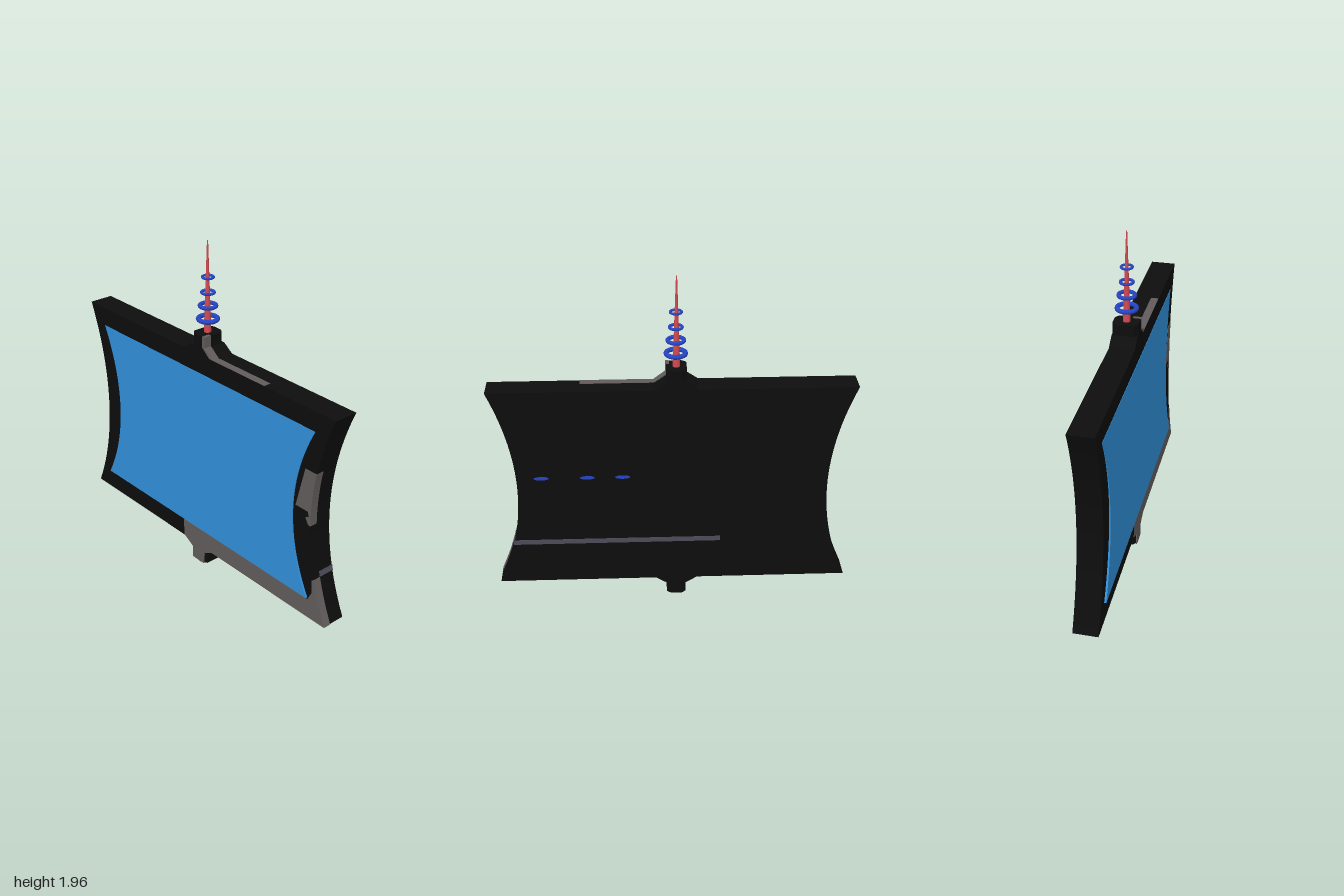
import * as THREE from 'three';

const BACK = -0.075, FRONT = 0.065, MID = -0.02;

const mat = (name, color, side = THREE.FrontSide) => {
  const m = new THREE.MeshStandardMaterial({ color, side });
  m.name = name;
  return m;
};

// Inward-bowed side curve, from top to bottom, with xm as the bezier control offset
const sideCurve = (x, xm, top, bottom) => {
  const h = top - bottom;
  return new THREE.CubicBezierCurve(
    new THREE.Vector2(x, top), new THREE.Vector2(xm, top - h * 0.34),
    new THREE.Vector2(xm, bottom + h * 0.32), new THREE.Vector2(x, bottom)).getPoints(28);
};
const flip = (pts) => pts.map((p) => new THREE.Vector2(-p.x, p.y)).reverse();
const vec = (pairs) => pairs.map(([x, y]) => new THREE.Vector2(x, y));

const outer = sideCurve(1, 0.82, 1.34, 0.115);

// x of the frame's side at height y
function edgeX(y) {
  for (let i = 1; i < outer.length; i++) {
    const a = outer[i - 1], b = outer[i];
    if (y >= b.y) return a.x + (b.x - a.x) * (a.y - y) / (a.y - b.y);
  }
  return 1;
}

// Points just outside the frame's side between two heights, bottom to top
const edgePoints = (y0, y1) => Array.from({ length: 9 }, (_, i) => {
  const y = y0 + (y1 - y0) * i / 8;
  return new THREE.Vector2(edgeX(y) + 0.002, y);
});

function slab(points, z0, z1) {
  const g = new THREE.ExtrudeGeometry(new THREE.Shape(points), { depth: z1 - z0, bevelEnabled: false });
  return g.translate(0, 0, z0);
}

export function createModel() {
  const group = new THREE.Group();
  const black = mat('frame black', 0x0d0d0d);
  const grey = mat('worn grey', 0x615c5b);
  const slate = mat('slate grey', 0x4c4b58);
  const sky = mat('screen blue', 0x3090da);
  const red = mat('antenna red', 0xd04a50);
  const blue = mat('ring blue', 0x2644c4);
  const add = (name, geometry, material) => {
    const m = new THREE.Mesh(geometry, material);
    m.name = name;
    group.add(m);
    return m;
  };

  // Frame body with flared roots for the two mounts
  add('frame', slab([
    ...outer,
    ...vec([[0.1, 0.115], [0.035, 0.075], [-0.075, 0.075], [-0.14, 0.115]]),
    ...flip(outer),
    ...vec([[-0.14, 1.34], [-0.075, 1.385], [0.035, 1.385], [0.1, 1.34]]),
  ], BACK, FRONT), black);

  // Eight-sided mounts above and below
  const mountPlan = vec([
    [-0.055, -0.05], [-0.03, -0.07], [0.03, -0.07], [0.055, -0.05],
    [0.055, 0.05], [0.03, 0.07], [-0.03, 0.07], [-0.055, 0.05]]);
  for (const [name, y0, y1] of [['topMount', 1.36, 1.45], ['bottomMount', 0, 0.1]]) {
    const g = slab(mountPlan, y0, y1).rotateX(-Math.PI / 2).translate(MID, 0, -0.005);
    add(name, g, black);
  }

  // Screen, leaning forward slightly at its foot
  const inner = sideCurve(0.87, 0.697, 1.23, 0.237);
  const screen = slab([...inner, ...flip(inner)], 0.05, 0.067);
  const pos = screen.attributes.position;
  for (let i = 0; i < pos.count; i++) {
    pos.setZ(i, pos.getZ(i) + (1.23 - pos.getY(i)) * 0.01);
  }
  screen.computeVertexNormals();
  add('screen', screen, sky);

  // Grey worn areas wrapping the front and the left side
  add('lowerWear', slab([
    ...vec([[-0.15, 0.113]]), ...edgePoints(0.113, 0.37),
    ...vec([[0.895, 0.36], [0.9, 0.28], [0.87, 0.225], [-0.15, 0.225]]),
  ], 0.02, 0.067), grey);
  add('mountWear', slab(vec([
    [-0.14, 0.115], [-0.07, 0.075], [-0.07, 0.003], [0.025, 0.003], [0.03, 0.075], [0.1, 0.115],
  ]), 0.06, 0.067), grey);
  add('sideWear', slab([
    ...vec([[0.757, 0.76]]), ...vec([[0.845, 0.76], [0.855, 0.73], [0.83, 0.72], [0.85, 0.685]]),
    ...edgePoints(0.68, 1.0), ...vec([[0.815, 1.0]]),
  ], 0.02, 0.067), grey);
  add('topMountWear', slab(vec([
    [0.018, 1.452], [0.018, 1.39], [0.075, 1.342], [0.1, 1.342], [0.037, 1.39], [0.037, 1.452],
  ]), 0.02, 0.067), grey);
  add('topWear', new THREE.BoxGeometry(0.45, 0.004, 0.043).translate(0.275, 1.34, 0.0425), grey);

  // Scratch along the back, turning onto the left side
  add('backStripe', slab([
    ...vec([[-0.27, 0.37]]), ...edgePoints(0.37, 0.4), ...vec([[-0.27, 0.4]]),
  ], -0.077, 0.02), slate);

  // Blue marks on the back
  for (const x of [0.73, 0.475, 0.28]) {
    const g = new THREE.CylinderGeometry(0.5, 0.5, 0.004, 10).rotateX(Math.PI / 2);
    add('backMark', g.scale(0.085, 0.022, 1).translate(x, 0.808, BACK), blue);
  }

  // Antenna with rings
  add('antenna', new THREE.CylinderGeometry(0.003, 0.021, 0.53, 16).translate(MID, 1.695, -0.005), red);
  for (const [y, r, tube] of [[1.525, 0.052, 0.013], [1.6, 0.044, 0.011], [1.675, 0.034, 0.008], [1.76, 0.03, 0.007]]) {
    const g = new THREE.TorusGeometry(r, tube, 10, 28).rotateX(Math.PI / 2);
    add('antennaRing', g.translate(MID + 0.003, y, -0.005), blue);
  }
  return group;
}
